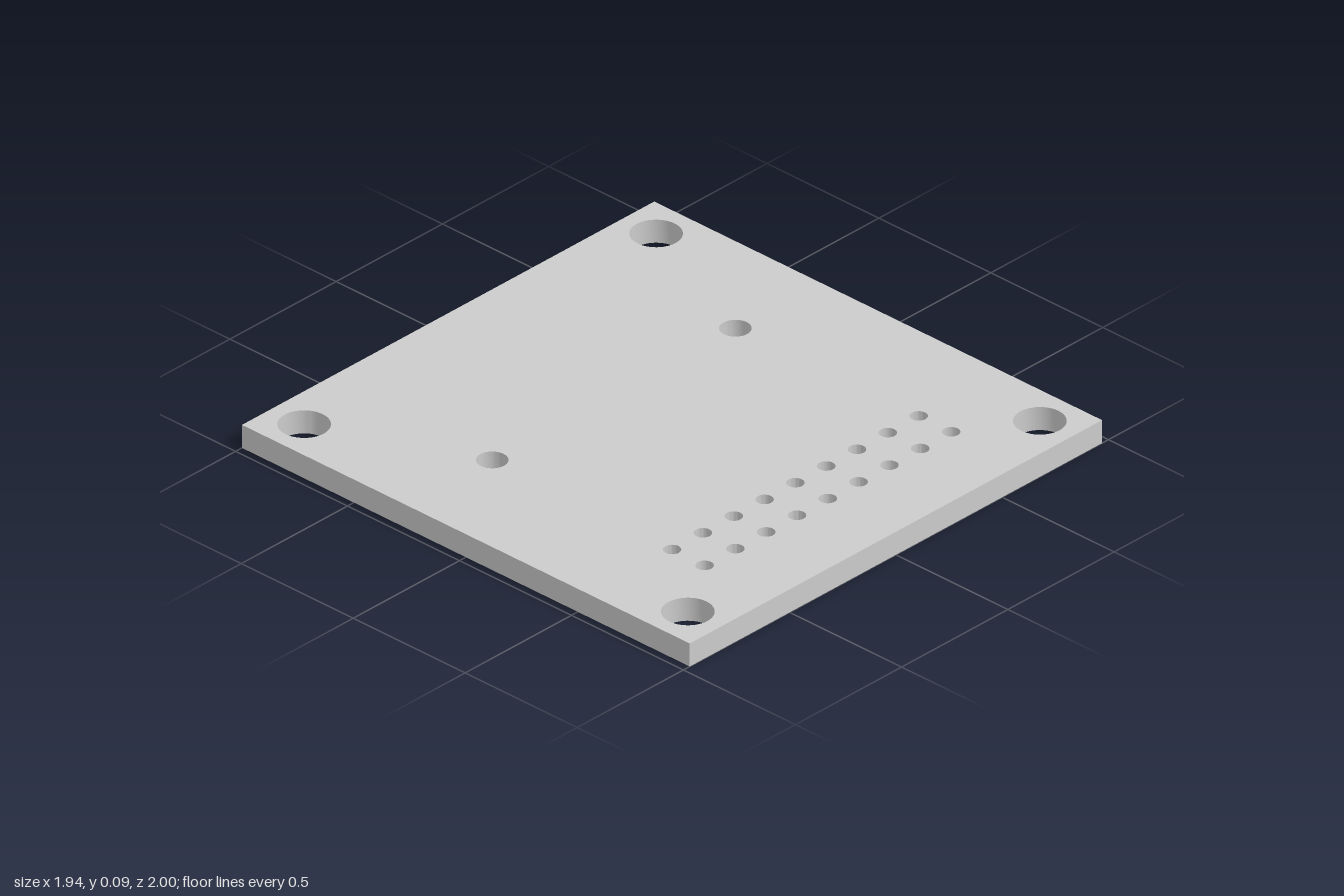
import * as THREE from 'three';
import { toCreasedNormals } from 'three/addons/utils/BufferGeometryUtils.js';

const HALF_WIDTH = 0.97;
const HALF_LENGTH = 1;
const THICKNESS = 0.087;

export function createModel() {
  const group = new THREE.Group();
  group.name = 'mountingPlate';

  // Plate outline, drawn flat with shape y = -z
  const outline = new THREE.Shape();
  outline.moveTo(-HALF_WIDTH, -HALF_LENGTH);
  outline.lineTo(HALF_WIDTH, -HALF_LENGTH);
  outline.lineTo(HALF_WIDTH, HALF_LENGTH);
  outline.lineTo(-HALF_WIDTH, HALF_LENGTH);
  outline.closePath();

  const drill = (x, z, radius) => {
    const hole = new THREE.Path();
    hole.absarc(x, -z, radius, 0, Math.PI * 2, true);
    outline.holes.push(hole);
  };

  // Corner mounting holes and the middle pair
  for (const side of [-1, 1]) {
    for (const end of [-1, 1]) drill(side * 0.828, end * 0.857, 0.087);
    drill(side * 0.572, -0.26, 0.053);
  }

  // Two rows of nine pin holes near the front
  for (const z of [0.551, 0.696]) {
    for (let i = -4; i <= 4; i++) drill(i * 0.145, z, 0.03);
  }

  // Lay the extruded plate flat, smoothing only the hole walls
  const extruded = new THREE.ExtrudeGeometry(outline, {
    depth: THICKNESS, bevelEnabled: false, curveSegments: 24,
  });
  extruded.rotateX(-Math.PI / 2);
  const plate = new THREE.Mesh(
    toCreasedNormals(extruded, Math.PI / 6),
    new THREE.MeshStandardMaterial({ color: 0xcccccc }),
  );
  plate.name = 'drilledPlate';
  group.add(plate);

  return group;
}
